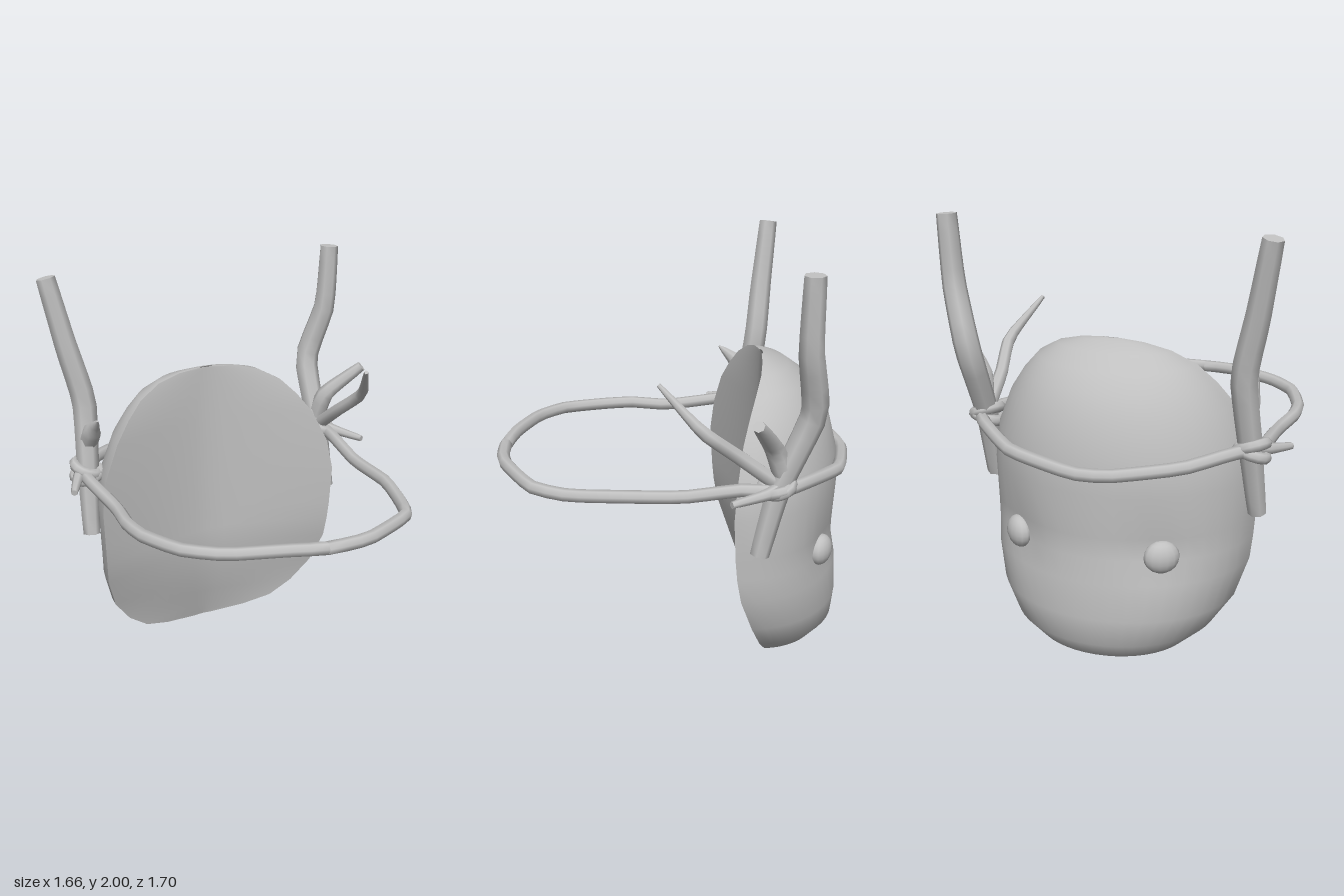
import * as THREE from 'three';

const grey = new THREE.MeshStandardMaterial({ color: 0xc0c0c0 });
grey.name = 'plain grey';
const greySheet = new THREE.MeshStandardMaterial({ color: 0xc0c0c0, side: THREE.DoubleSide });
greySheet.name = 'plain grey sheet';

const CX = -0.03; // centre line of the mask

function add(parent, name, geometry, material = grey) {
  const mesh = new THREE.Mesh(geometry, material);
  mesh.name = name;
  parent.add(mesh);
  return mesh;
}

// Grid of points (rows x cols) joined into a smooth sheet
function sheet(rows, cols, pointAt) {
  const pos = [], idx = [];
  for (let i = 0; i < rows; i++) {
    for (let j = 0; j < cols; j++) {
      pos.push(...pointAt(i, j));
      if (i < rows - 1 && j < cols - 1) {
        const a = i * cols + j, b = a + cols;
        idx.push(a, b, a + 1, b, b + 1, a + 1);
      }
    }
  }
  const g = new THREE.BufferGeometry();
  g.setAttribute('position', new THREE.Float32BufferAttribute(pos, 3));
  g.setIndex(idx);
  g.computeVertexNormals();
  return g;
}

// Round stick or rope along a path, with a radius for each path point and flat ends
function limb(points, radii, { closed = false, sides = 7, step = 4, tension = 0.25 } = {}) {
  const curve = new THREE.CatmullRomCurve3(points.map(p => new THREE.Vector3(...p)), closed, 'catmullrom', tension);
  const n = (closed ? points.length : points.length - 1) * step;
  const frames = curve.computeFrenetFrames(n, closed);
  const pos = [], idx = [];
  const ring = (i, scale) => {
    const u = i / n, c = curve.getPointAt(u);
    const f = curve.getUtoTmapping(u) * (radii.length - 1);
    const k = Math.min(Math.floor(f), Math.max(radii.length - 2, 0));
    const r = scale * THREE.MathUtils.lerp(radii[k], radii[k + 1] ?? radii[k], f - k);
    for (let j = 0; j < sides; j++) {
      const a = j / sides * Math.PI * 2;
      const p = c.clone().addScaledVector(frames.normals[i], r * Math.cos(a))
        .addScaledVector(frames.binormals[i], r * Math.sin(a));
      pos.push(p.x, p.y, p.z);
    }
  };
  const bridge = a => {
    for (let j = 0; j < sides; j++) {
      const k = (j + 1) % sides;
      idx.push(a + j, a + k, a + sides + j, a + k, a + sides + k, a + sides + j);
    }
  };
  for (let i = 0; i <= n; i++) {
    ring(i, 1);
    if (i < n) bridge(i * sides);
  }
  if (!closed) {
    // End caps on their own rings, so their edges stay crisp
    for (const [i, from, to] of [[0, 0, 1], [n, 1, 0]]) {
      const a = pos.length / 3;
      ring(i, from);
      ring(i, to);
      bridge(a);
    }
  }
  const g = new THREE.BufferGeometry();
  g.setAttribute('position', new THREE.Float32BufferAttribute(pos, 3));
  g.setIndex(idx);
  g.computeVertexNormals();
  return g;
}

function buildMask() {
  const mask = new THREE.Group();
  mask.name = 'mask';
  // Cross-sections: height, half width, rim z, depth behind the rim
  const rows = [
    [0, 0.05, -0.515, 0.03], [0.03, 0.23, -0.47, 0.18], [0.08, 0.37, -0.42, 0.31],
    [0.17, 0.48, -0.38, 0.42], [0.3, 0.57, -0.33, 0.48], [0.47, 0.62, -0.27, 0.53],
    [0.58, 0.628, -0.25, 0.53], [0.68, 0.633, -0.24, 0.54], [0.88, 0.64, -0.23, 0.56],
    [1.04, 0.61, -0.245, 0.535], [1.2, 0.535, -0.275, 0.465], [1.3, 0.46, -0.31, 0.375],
    [1.38, 0.38, -0.345, 0.28], [1.44, 0.27, -0.38, 0.16], [1.47, 0.15, -0.4, 0.06], [1.48, 0.04, -0.41, 0.01],
  ];
  const cols = 25;
  const angle = j => Math.PI * j / (cols - 1);

  // Domed face, with shallow sockets around the eyes
  add(mask, 'face', sheet(rows.length, cols, (i, j) => {
    const [y, w, rim, depth] = rows[i], a = angle(j);
    const x = w * Math.cos(a);
    const socket = 0.03 * Math.exp(-(((Math.abs(x) - 0.34) / 0.13) ** 2) - ((y - 0.6) / 0.11) ** 2);
    return [CX + x, y, rim - depth * Math.sin(a) + socket];
  }), greySheet);

  // Hollow side, bowed across and leaning back at the chin
  add(mask, 'hollowSide', sheet(rows.length, cols, (i, j) => {
    const [y, w, rim] = rows[i], c = -Math.cos(angle(j));
    const middle = Math.min(rim, -0.41 - 0.11 * Math.max(0, 1 - y / 0.4));
    return [CX + w * c, y, middle + (rim - middle) * Math.abs(c) ** 1.4];
  }), greySheet);

  for (const s of [-1, 1]) {
    const eye = add(mask, s > 0 ? 'leftEye' : 'rightEye', new THREE.SphereGeometry(1, 14, 10));
    eye.scale.set(0.08, 0.075, 0.05);
    eye.position.set(CX + s * 0.35, 0.6, -0.675);
    eye.rotation.y = -s * 0.6;
  }
  return mask;
}

function buildBranches() {
  const branches = new THREE.Group();
  branches.name = 'branches';
  const stick = (name, points, radii) => add(branches, name, limb(points, radii));

  stick('leftBranch', [[0.63, 0.73, -0.34], [0.62, 1.05, -0.42], [0.62, 1.39, -0.56], [0.7, 1.68, -0.52], [0.72, 1.995, -0.52]],
    [0.045, 0.055, 0.062, 0.055, 0.047]);
  stick('leftLongTwig', [[0.62, 1.06, -0.42], [0.64, 1.2, -0.24], [0.68, 1.33, -0.08], [0.585, 1.51, 0.1]],
    [0.035, 0.032, 0.03, 0.01]);
  stick('leftStub', [[0.62, 1.1, -0.44], [0.65, 1.24, -0.39], [0.81, 1.395, -0.3]], [0.05, 0.045, 0.027]);

  stick('rightBranch', [[-0.7, 0.73, -0.34], [-0.68, 1.05, -0.4], [-0.66, 1.38, -0.46], [-0.72, 1.65, -0.49], [-0.785, 1.98, -0.53]],
    [0.042, 0.055, 0.06, 0.055, 0.046]);
  stick('rightThorn', [[-0.665, 1.17, -0.43], [-0.66, 1.26, -0.36], [-0.66, 1.34, -0.27]], [0.05, 0.045, 0.005]);
  return branches;
}

function buildRope() {
  const rope = new THREE.Group();
  rope.name = 'rope';

  // Head loop, passing behind the hollow side and across the face
  add(rope, 'loop', limb([
    [-0.03, 1.03, 0.82], [0.18, 1.025, 0.81], [0.47, 1.01, 0.66], [0.55, 1, 0.5], [0.6, 1.01, 0.3],
    [0.61, 1.005, 0], [0.63, 1.04, -0.25], [0.65, 1.04, -0.42], [0.56, 1.04, -0.54], [0.31, 1.01, -0.74],
    [-0.03, 0.985, -0.82], [-0.2, 0.99, -0.8], [-0.47, 1.02, -0.67], [-0.63, 1.05, -0.5], [-0.71, 1.04, -0.36],
    [-0.68, 1.01, 0], [-0.7, 1.02, 0.2], [-0.68, 1.02, 0.35], [-0.59, 1.03, 0.56], [-0.44, 1.035, 0.69], [-0.2, 1.04, 0.78],
  ], [0.031], { closed: true, step: 3 }));

  // Knots around the branches, with loose ends
  const knots = [['left', 0.625, -0.41, [0.765, 1.03, -0.2]], ['right', -0.685, -0.4, [-0.81, 1.02, -0.22]]];
  for (const [side, x, z, tip] of knots) {
    for (const [k, tilt] of [[0, 0.25], [1, -0.35]]) {
      const wrap = add(rope, side + 'Knot', new THREE.TorusGeometry(0.063, 0.027, 7, 14));
      wrap.position.set(x, 1.03 + k * 0.03, z);
      wrap.rotation.set(Math.PI / 2 + 0.2, tilt, 0);
    }
    const s = Math.sign(x);
    add(rope, side + 'LooseEnd', limb([[x, 1.06, z - 0.03], [x + s * 0.06, 1.04, z + 0.05], tip], [0.03, 0.028, 0.016]));
  }
  return rope;
}

export function createModel() {
  const model = new THREE.Group();
  model.name = 'tiedMask';
  model.add(buildMask(), buildBranches(), buildRope());
  return model;
}
